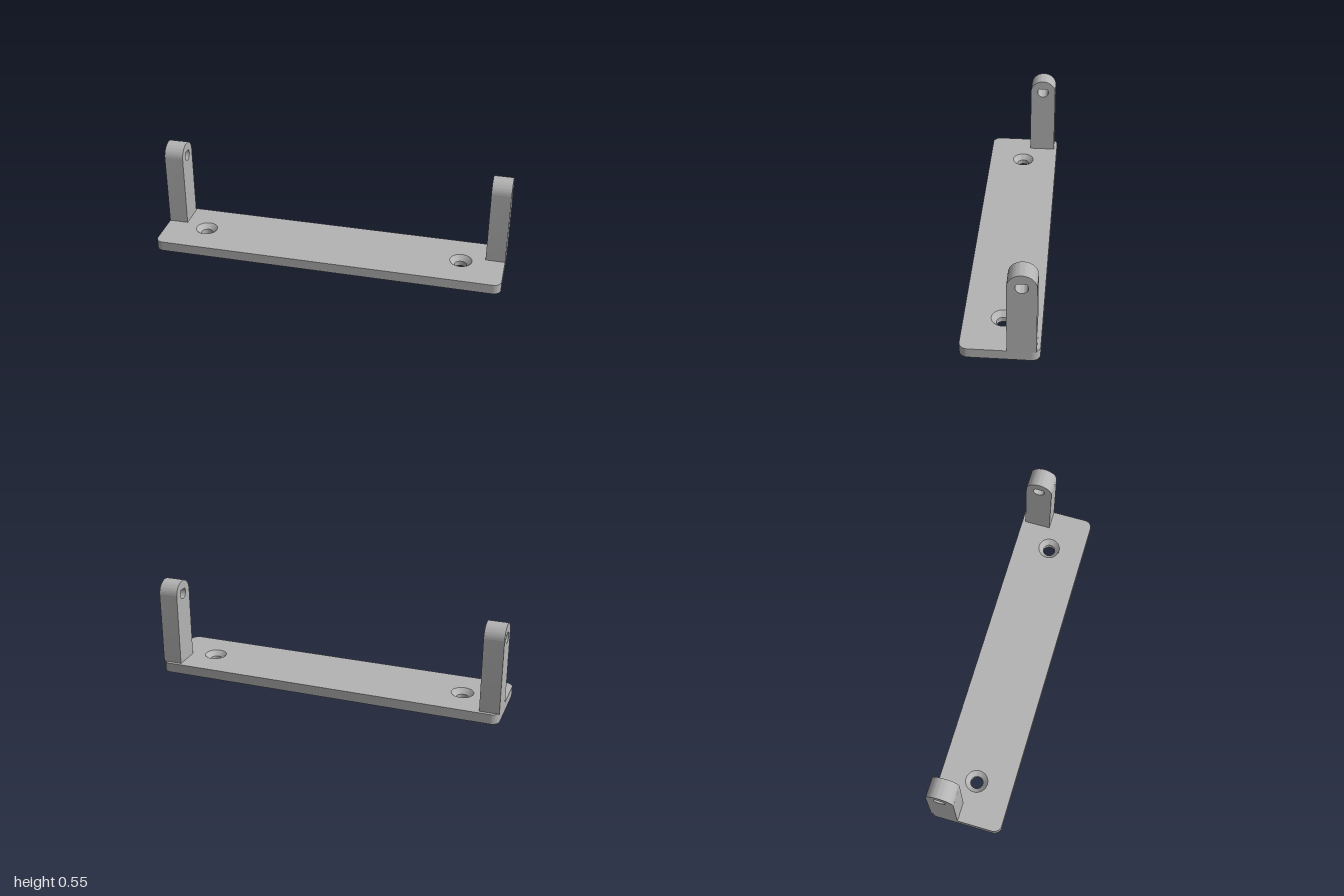
import * as THREE from 'three';
import { mergeGeometries, toCreasedNormals } from 'three/addons/utils/BufferGeometryUtils.js';

const W = 1, D = 0.208, T = 0.057, CORNER = 0.045;   // base plate half sizes, thickness, corner radius
const HOLE_X = 0.755, HOLE_R = 0.035, SINK_R = 0.063, SINK_Y = 0.029;
const POST_W = 0.11, POST_Z = -0.113, POST_R = 0.076, EYE_Y = 0.473, EYE_R = 0.033;

// Rounded outline of the plate, counter-clockwise from above
function plateOutline() {
  const s = new THREE.Shape();
  const x = W - CORNER, y = D - CORNER, q = Math.PI / 2;
  [[x, y], [-x, y], [-x, -y], [x, -y]].forEach(([cx, cy], i) =>
    s.absarc(cx, cy, CORNER, i * q, (i + 1) * q, false));
  return s;
}

// Clockwise circle, so that its walls face inwards
const circle = (x, r) => new THREE.Path().absarc(x, 0, r, 0, -Math.PI * 2, true);

// Wall between two matching loops at two heights
function band(low, yLow, high, yHigh) {
  const pos = [];
  for (let i = 0; i < low.length; i++) {
    const j = (i + 1) % low.length;
    const a = [low[i].x, yLow, -low[i].y], b = [low[j].x, yLow, -low[j].y];
    const c = [high[j].x, yHigh, -high[j].y], d = [high[i].x, yHigh, -high[i].y];
    pos.push(...a, ...b, ...c, ...a, ...c, ...d);
  }
  const g = new THREE.BufferGeometry();
  g.setAttribute('position', new THREE.Float32BufferAttribute(pos, 3));
  return g;
}

// Flat face of the plate with its two holes
function face(radius, y, up) {
  const s = plateOutline();
  s.holes = [-HOLE_X, HOLE_X].map((x) => circle(x, radius));
  const g = new THREE.ShapeGeometry(s, 16).toNonIndexed();
  g.deleteAttribute('uv');
  g.deleteAttribute('normal');
  return g.rotateX(up ? -Math.PI / 2 : Math.PI / 2).translate(0, y, 0);
}

// Plate with countersunk screw holes
function plateGeometry() {
  const rim = plateOutline().getPoints(16);
  const parts = [face(SINK_R, T, true), face(HOLE_R, 0, false), band(rim, 0, rim, T)];
  for (const x of [-HOLE_X, HOLE_X]) {
    const bore = circle(x, HOLE_R).getPoints(24), sink = circle(x, SINK_R).getPoints(24);
    parts.push(band(bore, 0, bore, SINK_Y), band(bore, SINK_Y, sink, T));
  }
  return toCreasedNormals(mergeGeometries(parts), 0.5);
}

// Round-topped post with a teardrop eye
function postGeometry() {
  const s = new THREE.Shape();
  s.moveTo(-POST_R, T);
  s.lineTo(POST_R, T);
  s.absarc(0, EYE_Y, POST_R, 0, Math.PI, false);
  s.closePath();
  const eye = new THREE.Path();
  eye.moveTo(0, EYE_Y + EYE_R * Math.SQRT2);
  eye.absarc(0, EYE_Y, EYE_R, Math.PI * 0.75, Math.PI * 2.25, false);
  eye.closePath();
  s.holes.push(eye);
  const g = new THREE.ExtrudeGeometry(s, { depth: POST_W, bevelEnabled: false, curveSegments: 28 });
  g.translate(0, 0, -POST_W / 2).rotateY(Math.PI / 2);
  return toCreasedNormals(g, 0.5);
}

export function createModel() {
  const model = new THREE.Group();
  model.name = 'wallBracket';
  const grey = new THREE.MeshStandardMaterial({ color: 0xb4b4b4 });
  grey.name = 'grey';

  const plate = new THREE.Mesh(plateGeometry(), grey);
  plate.name = 'basePlate';
  model.add(plate);

  const postGeo = postGeometry();
  for (const side of [-1, 1]) {
    const post = new THREE.Mesh(postGeo, grey);
    post.name = side > 0 ? 'leftPost' : 'rightPost';
    post.position.set(side * (W - POST_W / 2), 0, POST_Z);
    model.add(post);
  }
  return model;
}
